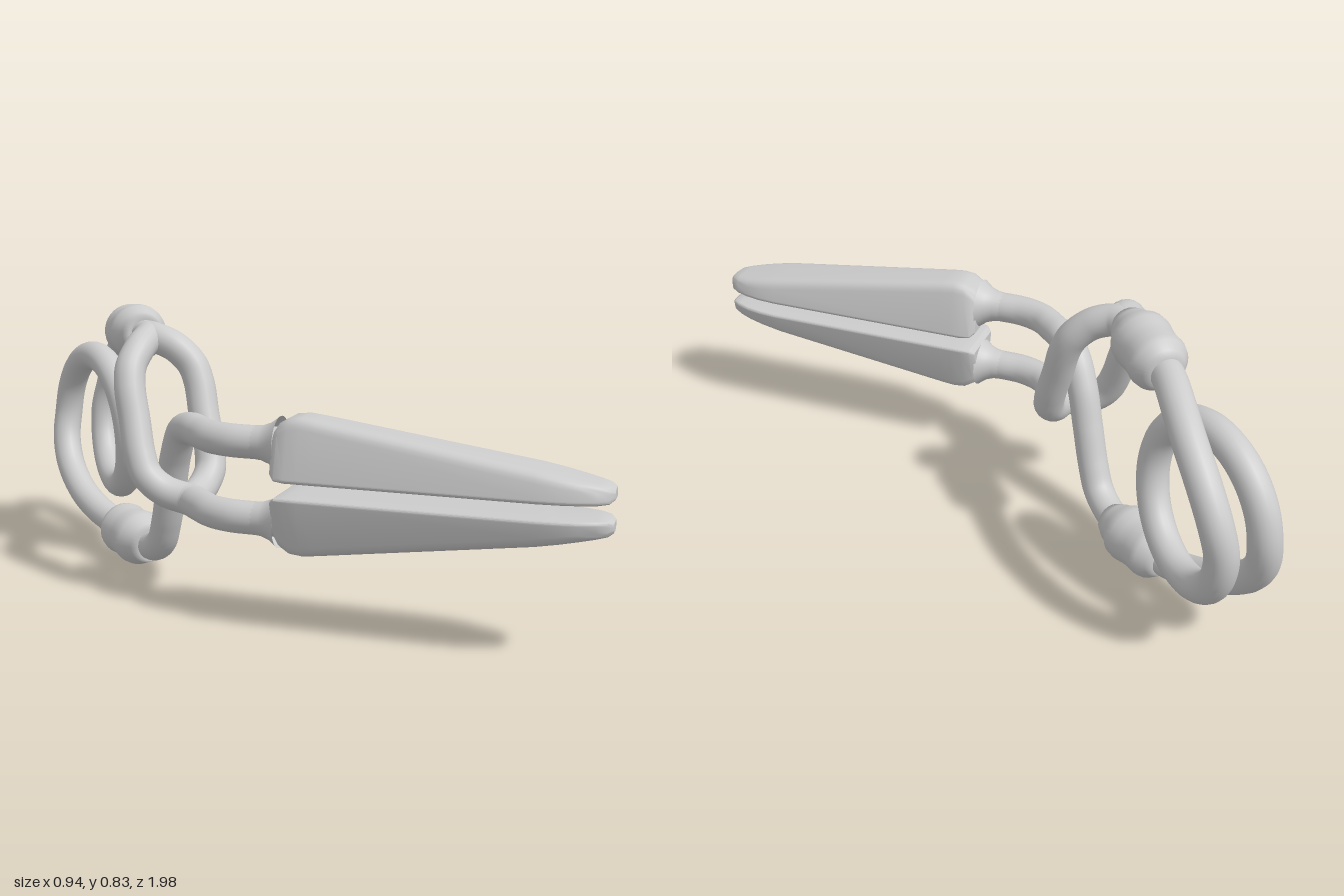
import * as THREE from 'three';
import { toCreasedNormals } from 'three/addons/utils/BufferGeometryUtils.js';

const MID_X = -0.32, MID_Y = 0.42, ROD = 0.046;
const material = new THREE.MeshStandardMaterial({ color: 0xcccccc, side: THREE.DoubleSide });
const vec = (p) => new THREE.Vector3(...p);

function add(parent, name, geometry) {
  const mesh = new THREE.Mesh(geometry, material);
  mesh.name = name;
  parent.add(mesh);
  return mesh;
}

// Round rod through a list of points
function rod(parent, name, points, segments = 80) {
  const curve = new THREE.CatmullRomCurve3(points.map(vec));
  return add(parent, name, new THREE.TubeGeometry(curve, segments, ROD, 20));
}

// Turned part whose axis starts at one point and heads towards another
function turned(parent, name, profile, from, to) {
  const geometry = new THREE.LatheGeometry(profile.map(([r, y]) => new THREE.Vector2(r, y)), 32);
  const mesh = add(parent, name, geometry);
  mesh.position.copy(vec(from));
  const axis = vec(to).sub(vec(from)).normalize();
  mesh.quaternion.setFromUnitVectors(new THREE.Vector3(0, 1, 0), axis);
}

// Trapezoid section with rounded corners
function jawSection(s, bottomHalf, topHalf, y0, y1) {
  const corners = [[bottomHalf, y0], [topHalf, y1], [-topHalf, y1], [-bottomHalf, y0]]
    .map(([x, y]) => new THREE.Vector3(x, y, s));
  const points = [];
  corners.forEach((c, i) => {
    const radius = i === 1 || i === 2 ? 0.03 : 0.012;
    const towards = (n) => {
      const d = n.clone().sub(c);
      return c.clone().addScaledVector(d, Math.min(radius / d.length(), 0.4));
    };
    const bend = new THREE.QuadraticBezierCurve3(towards(corners[(i + 3) % 4]), c, towards(corners[(i + 1) % 4]));
    points.push(...bend.getPoints(5));
  });
  return points;
}

// Tapered jaw: flat gripping face at y = 0, running along +z
function jawGeometry() {
  const stations = [
    [0, 0.001, 0.001, 0.07, 0.072],
    [0, 0.08, 0.045, 0.015, 0.13],
    [0.015, 0.096, 0.052, 0.003, 0.15],
    [0.045, 0.1, 0.058, 0, 0.167],
    [0.08, 0.1, 0.06, 0, 0.17],
    [0.12, 0.1, 0.062, 0, 0.165],
    [0.7, 0.1, 0.08, 0, 0.079],
    [0.76, 0.095, 0.078, 0, 0.068],
    [0.81, 0.085, 0.072, 0, 0.058],
    [0.85, 0.07, 0.06, 0, 0.051],
    [0.877, 0.053, 0.045, 0.002, 0.046],
    [0.89, 0.032, 0.027, 0.01, 0.037],
    [0.89, 0.001, 0.001, 0.022, 0.024],
  ];
  const rings = stations.map((s) => jawSection(...s));
  const n = rings[0].length;
  const index = [];
  for (let i = 0; i < rings.length - 1; i++) {
    for (let j = 0; j < n; j++) {
      const k = (j + 1) % n;
      const a = i * n + j, b = i * n + k, c = b + n, d = a + n;
      index.push(a, b, c, a, c, d);
    }
  }
  const geometry = new THREE.BufferGeometry().setFromPoints(rings.flat());
  geometry.setIndex(index);
  return toCreasedNormals(geometry, 0.6);
}

export function createModel() {
  const model = new THREE.Group();
  model.name = 'springClamp';
  const flip = (points) => points.map(([x, y, z]) => [x, 2 * MID_Y - y, z]);
  const jaw = jawGeometry();

  // Jaws, turned 45 degrees outwards, with their flared necks
  for (const side of [1, -1]) {
    const label = side > 0 ? 'upper' : 'lower';
    const mesh = add(model, label + 'Jaw', jaw);
    mesh.position.set(-0.19, MID_Y + side * 0.02, 0.33);
    mesh.rotation.set(0, Math.PI / 4, side > 0 ? 0 : Math.PI);
    const y = MID_Y + side * 0.106;
    turned(model, label + 'JawNeck',
      [[0.045, 0], [0.048, 0.03], [0.057, 0.055], [0.076, 0.08]],
      [-0.243, y, 0.277], [-0.18, y, 0.34]);
  }

  // Bent shank shared by both arms, behind the jaw
  const shank = [[-0.19, 0.526, 0.33], [-0.235, 0.526, 0.285], [-0.285, 0.526, 0.23],
    [-0.315, 0.526, 0.165], [MID_X, 0.526, 0.1], [MID_X, 0.526, 0.03]];

  // Upper arm: single rod passing down through the loop
  rod(model, 'upperArm', [...shank, [MID_X, 0.507, -0.04], [MID_X, 0.425, -0.1],
    [MID_X, 0.31, -0.145], [MID_X, 0.2, -0.188], [MID_X, 0.13, -0.23],
    [MID_X, 0.094, -0.3], [MID_X, 0.09, -0.4]]);

  // Lower arm: rod that splits into a long loop around the upper arm
  rod(model, 'lowerArm', [...flip(shank), [MID_X, 0.317, 0.0]]);
  for (const side of [1, -1]) {
    rod(model, side > 0 ? 'loopLeft' : 'loopRight', [
      [0, 0.314, 0.03], [0.012, 0.317, 0.005], [0.06, 0.335, -0.04], [0.098, 0.375, -0.075],
      [0.109, 0.43, -0.103], [0.109, 0.53, -0.145], [0.109, 0.62, -0.18],
      [0.096, 0.675, -0.205], [0.055, 0.724, -0.24], [0.012, 0.747, -0.285], [0, 0.75, -0.32],
    ].map(([x, y, z]) => [MID_X + side * x, y, z]));
  }
  rod(model, 'loopNeck', [[MID_X, 0.745, -0.275], [MID_X, 0.75, -0.33], [MID_X, 0.75, -0.42]], 12);

  // Barrel joints between the arms and the spring
  const barrel = [[0, 0], [0.05, -0.03], [0.064, 0], [0.071, 0.025], [0.084, 0.045], [0.087, 0.07],
    [0.083, 0.1], [0.081, 0.13], [0.084, 0.165], [0.08, 0.185], [0.062, 0.21], [0.047, 0.228], [0, 0.228]];
  const from = [[MID_X - 0.002, 0.752, -0.355]], to = [[-0.295, 0.738, -0.58]];
  turned(model, 'upperBarrel', barrel, from[0], to[0]);
  const mirrored = (points) => flip(points).map(([x, y, z]) => [2 * MID_X - x, y, z]);
  turned(model, 'lowerBarrel', barrel, mirrored(from)[0], mirrored(to)[0]);

  // Spring: in from the upper barrel, one full coil, out to the lower barrel
  const lead = [[-0.302, 0.742, -0.52], [-0.293, 0.737, -0.59], [-0.265, 0.709, -0.69],
    [-0.243, 0.663, -0.785], [-0.234, 0.588, -0.88], [-0.24, 0.505, -0.935]];
  const coil = [];
  for (let i = 0; i <= 16; i++) {
    const t = i / 16, a = t * Math.PI * 2;
    coil.push([-0.255 - 0.13 * t, MID_Y - 0.217 * Math.sin(a), -0.735 - 0.217 * Math.cos(a)]);
  }
  rod(model, 'spring', [...lead, ...coil, ...mirrored(lead).reverse()], 200);
  return model;
}
